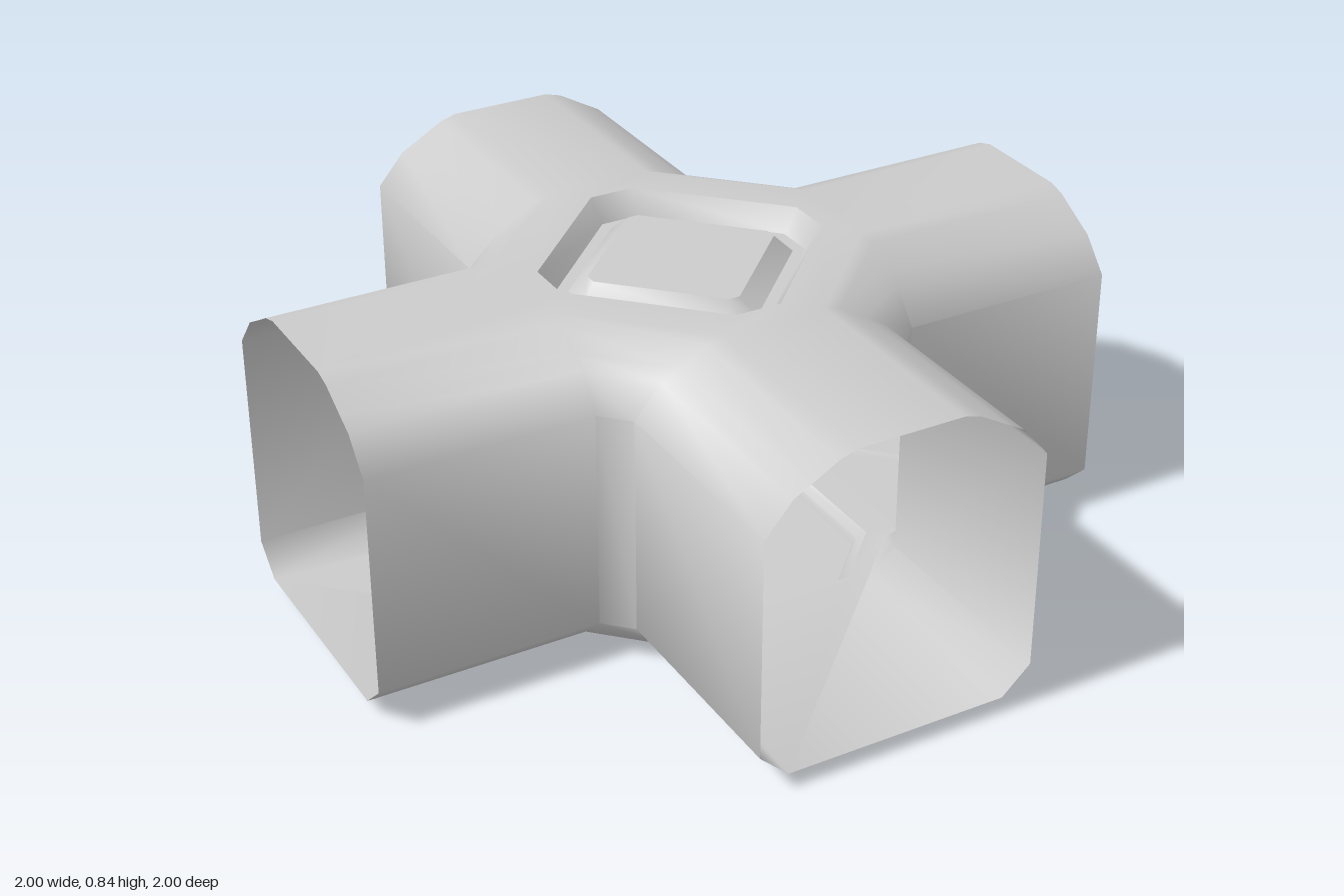
import * as THREE from 'three';
import { mergeGeometries, toCreasedNormals } from 'three/addons/utils/BufferGeometryUtils.js';

// half cross-section of a tunnel arm, roof to floor: [offset from axis, height]
const PROFILE = [[0.135, 0.84], [0.18, 0.827], [0.25, 0.787], [0.295, 0.762], [0.365, 0.68],
  [0.365, 0.11], [0.29, 0.04]];
const ELBOW = 0.43; // where the arms turn into the chamfered inner corner

// surface through rows of points
function grid(rows) {
  const pos = [];
  for (let i = 0; i < rows.length - 1; i++) {
    for (let j = 0; j < rows[i].length - 1; j++) {
      const a = rows[i][j], b = rows[i][j + 1], c = rows[i + 1][j], d = rows[i + 1][j + 1];
      pos.push(...a, ...b, ...c, ...b, ...d, ...c);
    }
  }
  const g = new THREE.BufferGeometry();
  g.setAttribute('position', new THREE.Float32BufferAttribute(pos, 3));
  return g;
}

// eight-cornered outline: a = reach along the axes, b = half-length of the side there
const octagon = (a, b) =>
  [[a, -b], [a, b], [b, a], [-b, a], [-a, b], [-a, -b], [-b, -a], [b, -a]];

const ring = (a, b, y) => {
  const pts = octagon(a, b).map(([x, z]) => [x, y, z]);
  return [...pts, pts[0]];
};

// flat cross-shaped sheet with an octagonal opening
function crossSheet(d, a, b, y, up) {
  const quarter = [[1, -d], [1, d], [ELBOW, d], [d, ELBOW]];
  const pts = [];
  for (let q = 0; q < 4; q++) {
    for (const [x, z] of quarter) {
      pts.push(new THREE.Vector2(...[[x, z], [-z, x], [-x, -z], [z, -x]][q]));
    }
  }
  const shape = new THREE.Shape(pts);
  shape.holes.push(new THREE.Path(octagon(a, b).map(([x, z]) => new THREE.Vector2(x, z))));
  const g = new THREE.ShapeGeometry(shape).toNonIndexed();
  g.deleteAttribute('uv');
  g.deleteAttribute('normal');
  return g.rotateX(up ? -Math.PI / 2 : Math.PI / 2).translate(0, y, 0);
}

export function createModel() {
  const group = new THREE.Group();
  const material = new THREE.MeshStandardMaterial({ color: 0xcccccc, side: THREE.DoubleSide });
  const add = (name, geometry, crease) => {
    const mesh = new THREE.Mesh(toCreasedNormals(geometry, crease), material);
    mesh.name = name;
    group.add(mesh);
  };

  // tunnel shell: one corner wall swept from arm to arm, repeated four times
  const corner = grid(PROFILE.map(([d, y]) =>
    [[1, y, d], [ELBOW, y, d], [d, y, ELBOW], [d, y, 1]]));
  const shell = [0, 1, 2, 3].map((q) => corner.clone().rotateY(q * Math.PI / 2));
  shell.push(crossSheet(0.135, 0.36, 0.06, 0.84, true));
  shell.push(crossSheet(0.29, 0.4, 0.25, 0.04, false));
  add('tunnelShell', mergeGeometries(shell), 1.0);

  // roof hatch: diamond groove around a raised panel
  add('roofHatch', grid([
    ring(0.36, 0.06, 0.84), ring(0.32, 0.05, 0.78), ring(0.29, 0.04, 0.78),
    ring(0.25, 0.015, 0.82), ring(0, 0, 0.82),
  ].map((r) => r.reverse())), 0.7);

  // floor well: shallow chamfered square sunk below the floor
  add('floorWell', grid([
    ring(0.4, 0.25, 0.04), ring(0.38, 0.235, 0.02), ring(0.373, 0.23, 0), ring(0, 0, 0),
  ]), 0.7);

  return group;
}
